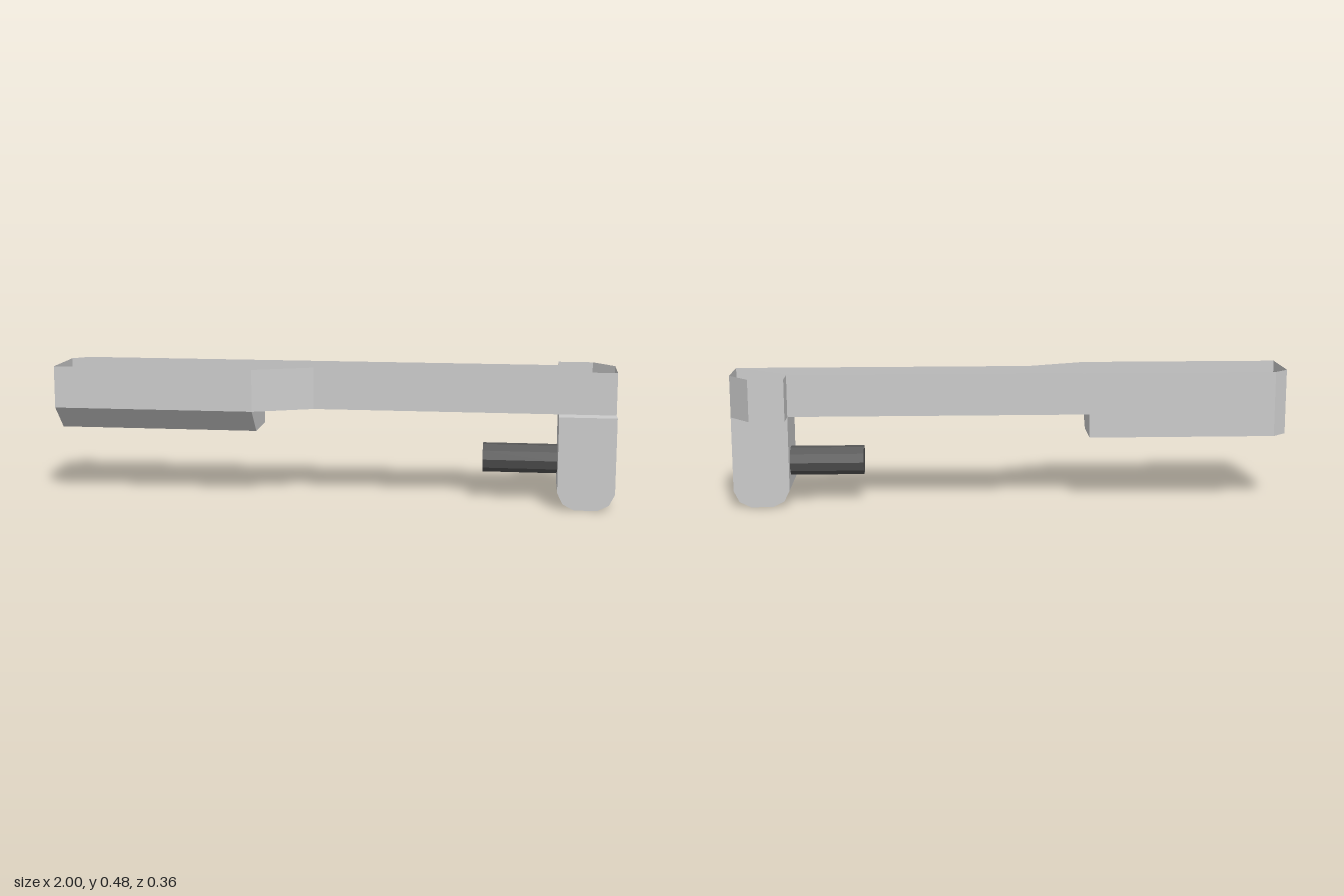
import * as THREE from 'three';
import { mergeGeometries } from 'three/addons/utils/BufferGeometryUtils.js';

const RIM = 0.48, FLOOR = 0.33, DEEP = 0.245;       // heights
const FRONT = 0.09, BACK = -0.087, WIDE = 0.178, LUG = 0.152; // depths

// Flat convex panel from its corners, counter-clockwise from outside
function panel(points) {
  const pos = [];
  for (let i = 1; i < points.length - 1; i++) pos.push(...points[0], ...points[i], ...points[i + 1]);
  const g = new THREE.BufferGeometry();
  g.setAttribute('position', new THREE.Float32BufferAttribute(pos, 3));
  g.computeVertexNormals();
  return g;
}

// Row of panels between two matching polylines
function strip(a, b) {
  return mergeGeometries(a.slice(1).map((p, i) => panel([a[i], p, b[i + 1], b[i]])));
}

// Vertical wall along a plan path of [x, z] points
const atHeight = (path, y) => path.map(([x, z]) => [x, y, z]);
const wall = (path, y0, y1) => strip(atHeight(path, y0), atHeight(path, y1));

export function createModel() {
  const model = new THREE.Group();
  const shell = new THREE.MeshStandardMaterial({ color: 0xcccccc, flatShading: true, side: THREE.DoubleSide });
  const dark = new THREE.MeshStandardMaterial({ color: 0x555555, flatShading: true });
  const add = (name, geometry, material = shell) => {
    const mesh = new THREE.Mesh(geometry, material);
    mesh.name = name;
    model.add(mesh);
    return mesh;
  };

  // Open-topped side walls of the whole lever
  add('leverWalls', wall([
    [-1, WIDE], [-0.28, WIDE], [-0.07, FRONT], [1, FRONT], [1, BACK], [0.925, -WIDE],
    [0.8, -WIDE], [0.8, BACK], [-0.95, BACK], [-1, -0.04], [-1, WIDE],
  ], FLOOR, RIM));

  // Underside of the narrow arm and of the rear tab
  add('armFloor', panel(atHeight([[-0.28, BACK], [0.8, BACK], [0.8, FRONT], [-0.07, FRONT], [-0.28, WIDE]], FLOOR)));
  add('rearTabFloor', panel(atHeight([[0.8, -WIDE], [0.925, -WIDE], [1, BACK], [0.8, BACK]], FLOOR)));

  // Deeper grip with a bevelled front lower edge
  add('grip', mergeGeometries([
    wall([[-0.28, BACK], [-0.95, BACK], [-1, -0.04]], DEEP, FLOOR),
    strip([[-1, DEEP, FRONT], [-0.28, DEEP, FRONT]], [[-1, FLOOR, WIDE], [-0.28, FLOOR, WIDE]]),
    panel(atHeight([[-0.95, BACK], [-0.28, BACK], [-0.28, FRONT], [-1, FRONT], [-1, -0.04]], DEEP)),
    panel([[-1, DEEP, -0.04], [-1, DEEP, FRONT], [-1, FLOOR, WIDE], [-1, FLOOR, -0.04]]),
    panel([[-0.28, DEEP, FRONT], [-0.28, DEEP, BACK], [-0.28, FLOOR, BACK], [-0.28, FLOOR, WIDE]]),
  ]));

  // Hollow pivot lug with a rounded bottom, open into the arm above
  const profile = [[0.8, FLOOR], [0.8, 0.06], [0.82, 0.02], [0.86, 0], [0.94, 0], [0.98, 0.02], [1, 0.06], [1, FLOOR]];
  const section = (z) => profile.map(([x, y]) => [x, y, z]);
  add('pivotLug', mergeGeometries([
    strip(section(BACK), section(LUG)),
    panel(section(LUG)),
    panel(section(BACK).reverse()),
    panel(atHeight([[0.8, LUG], [1, LUG], [1, FRONT], [0.8, FRONT]], FLOOR)),
  ]));

  // Pivot pin pointing inward from the lug
  const pin = add('pivotPin', new THREE.CylinderGeometry(0.053, 0.053, 0.265, 10), dark);
  pin.rotation.z = Math.PI / 2;
  pin.position.set(0.6675, 0.153, 0);

  return model;
}
